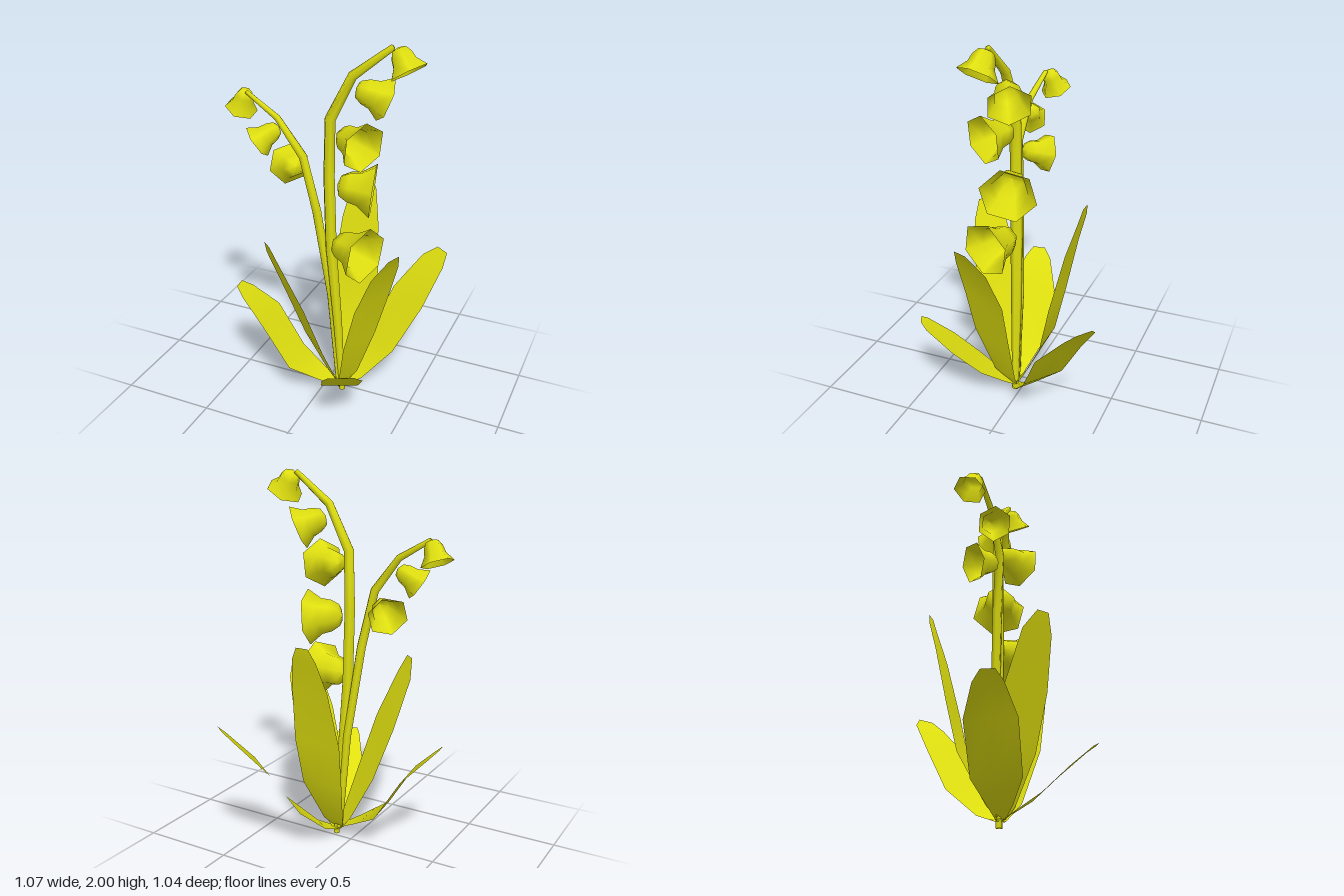
import * as THREE from 'three';

const yellow = new THREE.MeshStandardMaterial({ color: 0xdfdf10, side: THREE.DoubleSide });
yellow.name = 'yellow green';

// Joins equal-length cross-sections into one smooth surface.
function loft(sections, closed) {
  const n = sections[0].length, index = [];
  const cols = closed ? n : n - 1;
  for (let i = 0; i < sections.length - 1; i++) {
    for (let j = 0; j < cols; j++) {
      const a = i * n + j, b = i * n + (j + 1) % n;
      index.push(a, b, b + n, a, b + n, a + n);
    }
  }
  const geo = new THREE.BufferGeometry().setFromPoints(sections.flat());
  geo.setIndex(index);
  geo.computeVertexNormals();
  return geo;
}

// Leaf blade: rows of [x, y, z, width], spread along a horizontal direction.
function leaf(name, rows, side) {
  const dir = new THREE.Vector3(side[0], 0, side[1]).normalize();
  const sections = rows.map(([x, y, z, w]) => [-0.5, 0, 0.5].map(k =>
    new THREE.Vector3(x, y, z).addScaledVector(dir, k * w)));
  const mesh = new THREE.Mesh(loft(sections, false), yellow);
  mesh.name = name;
  return mesh;
}

// Kinked tapering stem: rows of [x, y, z, radius].
function stem(name, rows) {
  const pts = rows.map(r => new THREE.Vector3(r[0], r[1], r[2]));
  const sections = pts.map((p, i) => {
    const t = pts[Math.min(i + 1, pts.length - 1)].clone()
      .sub(pts[Math.max(i - 1, 0)]).normalize();
    const v = new THREE.Vector3(0, 0, 1).addScaledVector(t, -t.z).normalize();
    const u = new THREE.Vector3().crossVectors(v, t);
    return Array.from({ length: 6 }, (_, j) => {
      const a = j * Math.PI / 3, r = rows[i][3];
      return p.clone().addScaledVector(u, r * Math.cos(a)).addScaledVector(v, r * Math.sin(a));
    });
  });
  // close the tip
  sections.push(Array.from({ length: 6 }, () => pts[pts.length - 1].clone()));
  const mesh = new THREE.Mesh(loft(sections, true), yellow);
  mesh.name = name;
  return mesh;
}

// Six-sided bell flower hanging from its crown, opening towards its mouth.
const bellProfile = [[0, 0], [0.38, 0.08], [0.56, 0.32], [0.64, 0.62], [1, 1]];
function bell(name, crown, mouth, radius) {
  const a = new THREE.Vector3(...crown), axis = new THREE.Vector3(...mouth).sub(a);
  const length = axis.length();
  const geo = new THREE.LatheGeometry(
    bellProfile.map(([r, t]) => new THREE.Vector2(r * radius, t * length)), 6);
  const mesh = new THREE.Mesh(geo, yellow);
  mesh.position.copy(a);
  mesh.quaternion.setFromUnitVectors(new THREE.Vector3(0, 1, 0), axis.normalize());
  mesh.name = name;
  return mesh;
}

export function createModel() {
  const model = new THREE.Group();
  model.name = 'bellFlowerPlant';

  // Leaves
  model.add(
    leaf('backLeftLeaf', [[0.11, 0.03, 0.03, 0.05], [0.16, 0.07, -0.05, 0.12],
      [0.255, 0.225, -0.19, 0.24], [0.36, 0.475, -0.315, 0.28],
      [0.455, 0.66, -0.45, 0.19], [0.495, 0.72, -0.49, 0.09]], [0.8, 0.6]),
    leaf('backLeaf', [[0.1, 0.04, 0.03, 0.05], [0.1, 0.1, -0.02, 0.12],
      [0.09, 0.36, -0.15, 0.24], [0.085, 0.62, -0.205, 0.27],
      [0.08, 0.93, -0.275, 0.21], [0.08, 1.1, -0.325, 0.14],
      [0.08, 1.17, -0.34, 0.07]], [1, 0]),
    leaf('leftLeaf', [[0.11, 0.03, 0.04, 0.06], [0.16, 0.12, 0.07, 0.15],
      [0.24, 0.4, 0.11, 0.25], [0.31, 0.66, 0.12, 0.27],
      [0.385, 0.87, 0.15, 0.21], [0.44, 0.98, 0.18, 0.08]], [-0.35, 0.94]),
    leaf('frontRightLeaf', [[0.1, 0.03, 0.04, 0.05], [0.07, 0.1, 0.07, 0.12],
      [-0.01, 0.35, 0.15, 0.23], [-0.09, 0.64, 0.22, 0.26],
      [-0.165, 0.9, 0.295, 0.18], [-0.18, 1.0, 0.33, 0.07]], [0.75, 0.66]),
    leaf('rightLeaf', [[0.1, 0.04, 0.04, 0.05], [0.0, 0.09, 0.06, 0.13],
      [-0.15, 0.18, 0.08, 0.25], [-0.3, 0.42, 0.09, 0.26],
      [-0.43, 0.55, 0.11, 0.15], [-0.475, 0.595, 0.12, 0.07]], [0.12, 1]),
    leaf('frontLeaf', [[0.1, 0.03, 0.04, 0.05], [0.13, 0.08, 0.1, 0.11],
      [0.17, 0.16, 0.21, 0.2], [0.24, 0.3, 0.34, 0.21],
      [0.29, 0.42, 0.47, 0.13], [0.285, 0.44, 0.51, 0.06]], [0.87, -0.4]));

  // Stems
  model.add(
    stem('tallStem', [[0.11, 0, 0.03, 0.018], [0.08, 0.45, 0.035, 0.027],
      [0.045, 0.9, 0.045, 0.032], [0.035, 1.3, 0.05, 0.031], [0.04, 1.6, 0.05, 0.029],
      [0.155, 1.83, 0.05, 0.024], [0.35, 1.985, 0.045, 0.015]]),
    stem('shortStem', [[0.09, 0.04, 0.03, 0.018], [0.04, 0.6, 0.03, 0.024],
      [-0.03, 1.1, 0.06, 0.026], [-0.09, 1.4, 0.09, 0.024],
      [-0.23, 1.58, 0.085, 0.018], [-0.41, 1.685, 0.065, 0.012]]));

  // Bell flowers: crown, mouth centre, rim radius
  const bells = [
    [[0.37, 1.985, 0.04], [0.435, 1.88, 0.06], 0.1],
    [[0.17, 1.77, 0.04], [0.295, 1.71, -0.03], 0.115],
    [[0.1, 1.53, 0.05], [0.25, 1.51, 0.13], 0.128],
    [[0.08, 1.26, 0.05], [0.255, 1.24, 0], 0.148],
    [[0.08, 0.94, 0.06], [0.268, 0.93, 0.125], 0.15],
    [[-0.42, 1.69, 0.05], [-0.467, 1.58, 0.025], 0.085],
    [[-0.23, 1.53, 0.07], [-0.33, 1.45, 0.12], 0.09],
    [[-0.13, 1.335, 0.08], [-0.225, 1.3, -0.02], 0.108],
  ];
  bells.forEach(([crown, mouth, r], i) => model.add(bell('bell' + (i + 1), crown, mouth, r)));
  return model;
}
